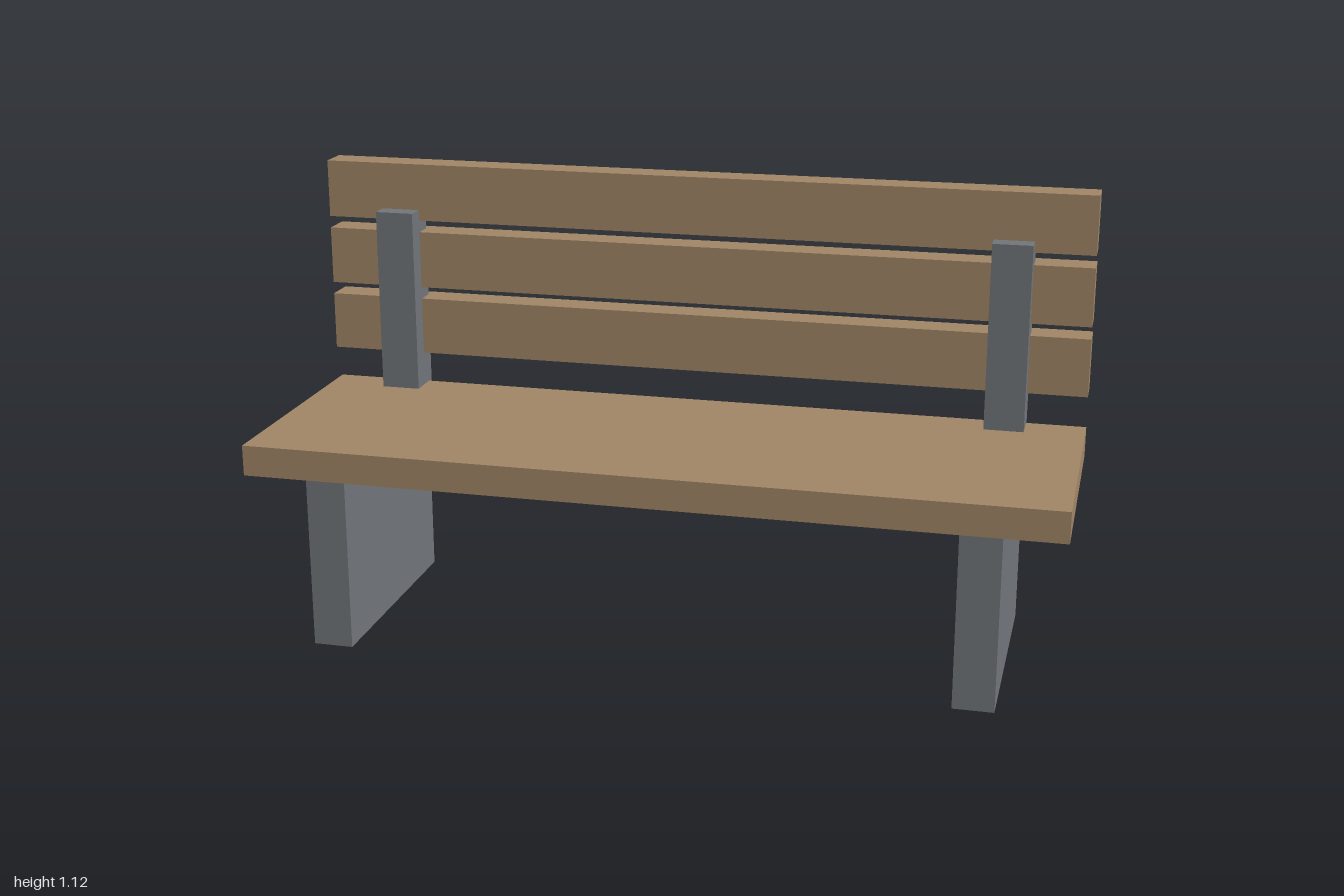
import * as THREE from 'three';

const wood = new THREE.MeshStandardMaterial({ color: 0xa08566 });
wood.name = 'wood';
const metal = new THREE.MeshStandardMaterial({ color: 0x70757a });
metal.name = 'greyMetal';

// Box given by its extents along each axis
function block(name, material, [x0, x1], [y0, y1], [z0, z1]) {
  const mesh = new THREE.Mesh(new THREE.BoxGeometry(x1 - x0, y1 - y0, z1 - z0), material);
  mesh.position.set((x0 + x1) / 2, (y0 + y1) / 2, (z0 + z1) / 2);
  mesh.name = name;
  return mesh;
}

export function createModel() {
  const bench = new THREE.Group();
  bench.name = 'bench';

  // Seat board
  bench.add(block('seat', wood, [-1, 1], [0.445, 0.522], [-0.295, 0.345]));

  // Three backrest slats
  for (let i = 0; i < 3; i++) {
    const y = 0.609 + i * 0.18;
    bench.add(block(`backSlat${i + 1}`, wood, [-1, 1], [y, y + 0.149], [-0.345, -0.265]));
  }

  // Slab leg and back post on each side
  for (const [side, x] of [['left', 0.8], ['right', -0.8]]) {
    const span = [x - 0.05, x + 0.05];
    bench.add(block(`${side}Leg`, metal, span, [0, 0.445], [-0.285, 0.315]));
    bench.add(block(`${side}BackPost`, metal, span, [0.448, 0.997], [-0.315, -0.215]));
  }
  return bench;
}
